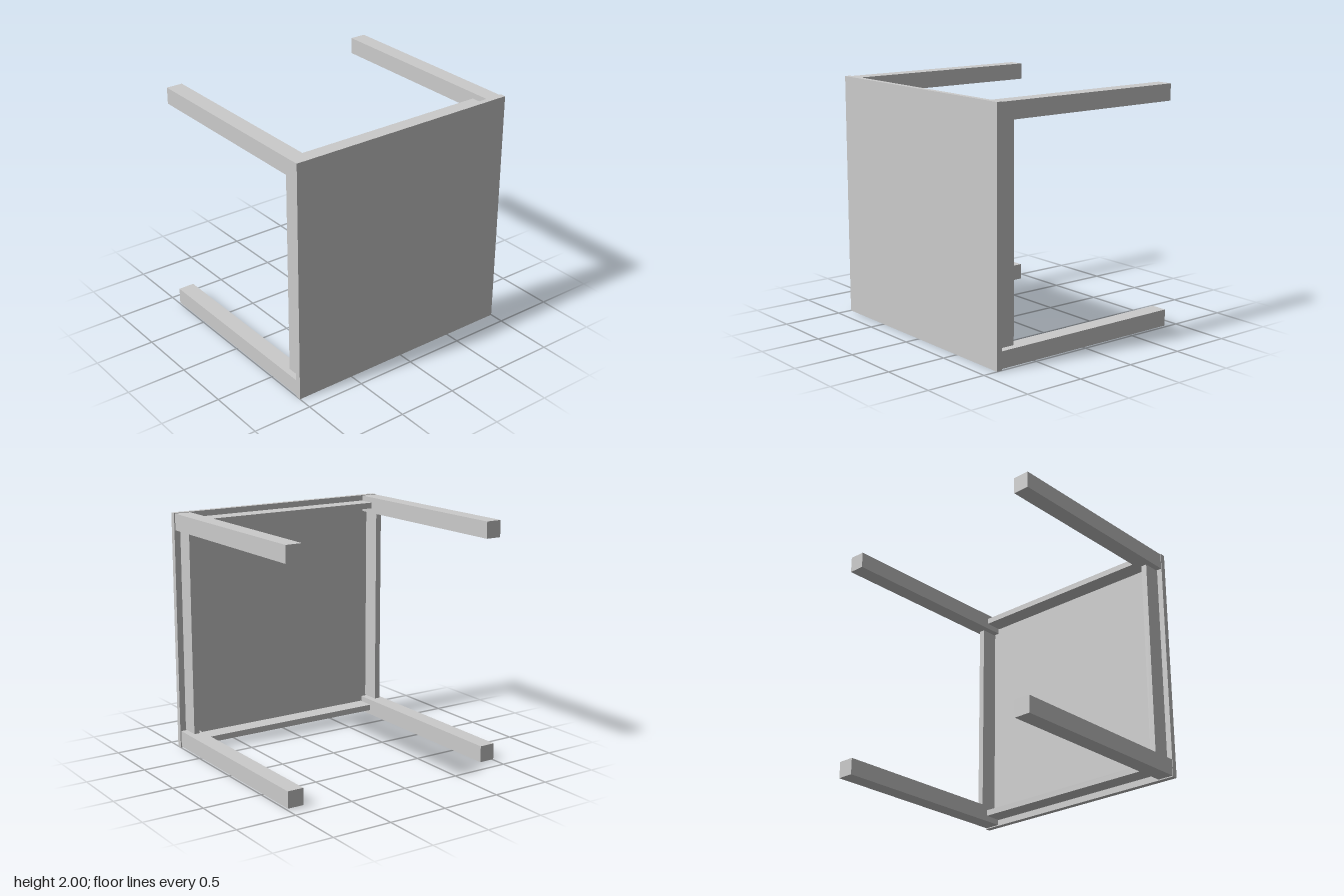
import * as THREE from 'three';

const material = new THREE.MeshStandardMaterial({ color: 0xcccccc, flatShading: true });

// Box given by its extents along each axis
function slab(name, [x0, x1], [y0, y1], [z0, z1]) {
  const mesh = new THREE.Mesh(new THREE.BoxGeometry(x1 - x0, y1 - y0, z1 - z0), material);
  mesh.name = name;
  mesh.position.set((x0 + x1) / 2, (y0 + y1) / 2, (z0 + z1) / 2);
  return mesh;
}

// A square table lying on its side, its top facing +z
export function createModel() {
  const table = new THREE.Group();
  table.name = 'table';

  const back = 0.83; // underside of the table top
  table.add(slab('tableTop', [-1, 1], [0, 2], [back, 0.877]));

  const legX = { right: [-0.996, -0.859], left: [0.854, 0.991] };
  const legY = { Lower: [0.008, 0.145], Upper: [1.859, 1.996] };
  const rail = 0.025; // half the apron thickness
  const centred = ([a, b]) => [(a + b) / 2 - rail, (a + b) / 2 + rail];
  const apronZ = [0.677, back];

  // Four square legs, one in each corner
  for (const side in legX)
    for (const level in legY)
      table.add(slab(`${side}${level}Leg`, legX[side], legY[level], [-0.877, back]));

  // Aprons between the legs, centred on the leg thickness
  for (const side in legX)
    table.add(slab(`${side}Apron`, centred(legX[side]), [0.152, 1.852], apronZ));
  for (const level in legY)
    table.add(slab(`apron${level}`, [-0.852, 0.847], centred(legY[level]), apronZ));

  return table;
}
